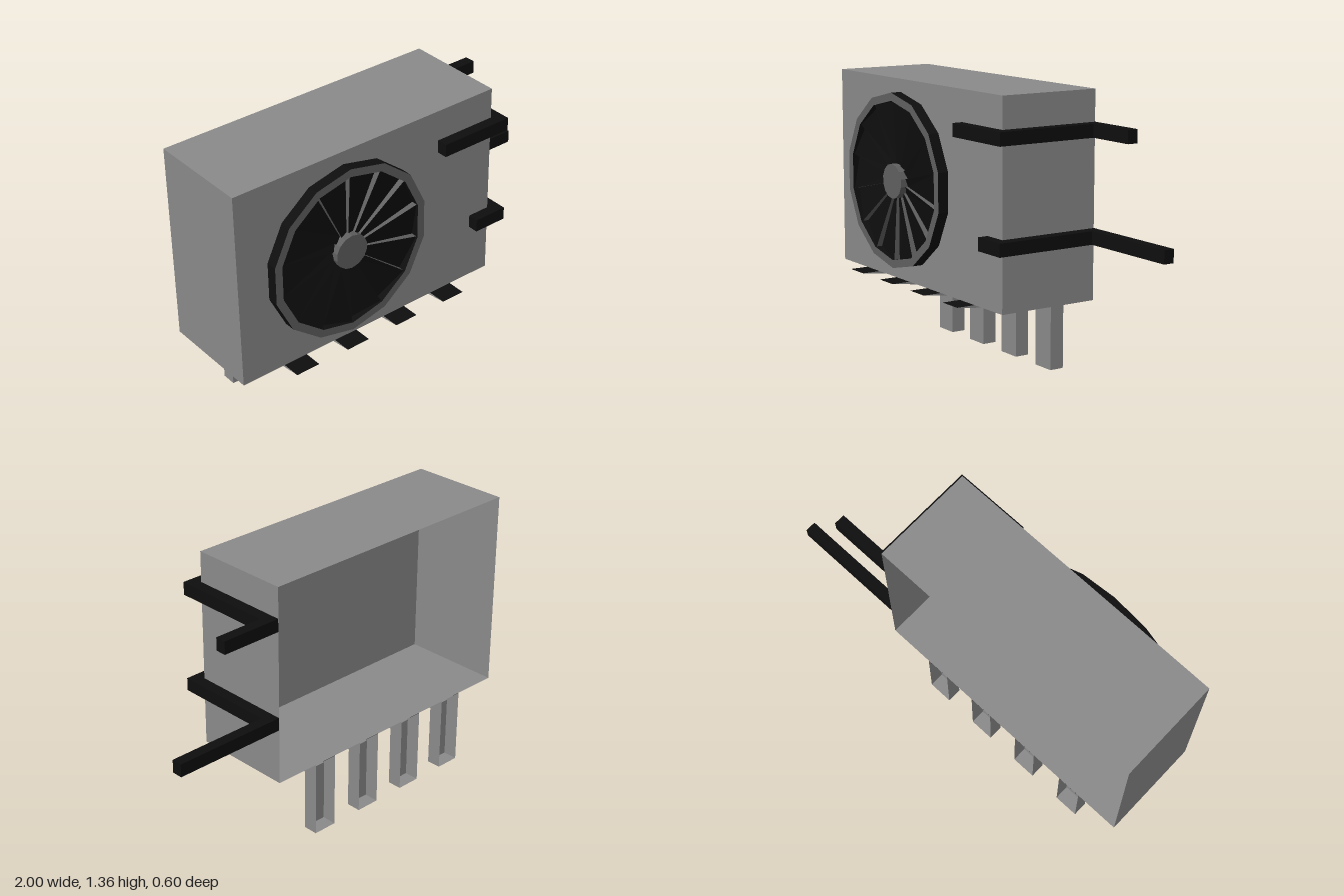
import * as THREE from 'three';

const mat = (color) => new THREE.MeshStandardMaterial({ color, side: THREE.DoubleSide, flatShading: true });

export function createModel() {
  const model = new THREE.Group();
  const grey = mat(0x8a8a8a), mid = mat(0x606060), black = mat(0x0e0e0e);

  const add = (parent, name, geo, material) => {
    const m = new THREE.Mesh(geo, material);
    m.name = name;
    parent.add(m);
    return m;
  };
  // Axis-aligned box from its limits
  const boxGeo = (x0, x1, y0, y1, z0, z1) =>
    new THREE.BoxGeometry(x1 - x0, y1 - y0, z1 - z0)
      .translate((x0 + x1) / 2, (y0 + y1) / 2, (z0 + z1) / 2);
  // Box without its back face (-z, the last six indices)
  const openBack = (geo) => {
    geo.setIndex(Array.from(geo.index.array).slice(0, 30));
    geo.clearGroups();
    return geo;
  };
  // Surface from a list of four-cornered faces
  const quads = (faces) => {
    const pos = [];
    for (const [a, b, c, d] of faces) pos.push(...a, ...b, ...c, ...a, ...c, ...d);
    const g = new THREE.BufferGeometry();
    g.setAttribute('position', new THREE.Float32BufferAttribute(pos, 3));
    g.computeVertexNormals();
    return g;
  };

  // Casing, hollow and open at the back
  add(model, 'casing', openBack(boxGeo(-1, 0.435, 0.378, 1.358, -0.3, 0.207)), grey);

  // Fan
  const fan = new THREE.Group();
  fan.name = 'fan';
  fan.position.set(-0.425, 0.868, 0.207);
  model.add(fan);
  const N = 14, R = 0.427, RI = 0.388, RH = 0.085, DEPTH = 0.054;
  const LOW = 0.015, HIGH = 0.045, HUB_HIGH = 0.028;
  const pt = (r, i, z) => {
    const a = Math.PI / 2 + (i * Math.PI * 2) / N;
    return [r * Math.cos(a), r * Math.sin(a), z];
  };
  const rim = [], rimWalls = [], blades = [], steps = [];
  for (let i = 0; i < N; i++) {
    const j = i + 1;
    rim.push([pt(RI, i, DEPTH), pt(R, i, DEPTH), pt(R, j, DEPTH), pt(RI, j, DEPTH)]);
    rimWalls.push([pt(R, i, 0), pt(R, j, 0), pt(R, j, DEPTH), pt(R, i, DEPTH)]);
    rimWalls.push([pt(RI, j, 0), pt(RI, i, 0), pt(RI, i, DEPTH), pt(RI, j, DEPTH)]);
    // Each blade rises counterclockwise, then steps down to the next
    blades.push([pt(RH, i, LOW), pt(RI, i, LOW), pt(RI, j, HIGH), pt(RH, j, HUB_HIGH)]);
    steps.push([pt(RH, j, LOW), pt(RH, j, HUB_HIGH), pt(RI, j, HIGH), pt(RI, j, LOW)]);
  }
  add(fan, 'fanRim', quads(rim), mid);
  add(fan, 'fanRimWalls', quads(rimWalls), black);
  add(fan, 'fanBlades', quads(blades), black);
  add(fan, 'bladeSteps', quads(steps), mid);
  add(fan, 'fanHub', new THREE.CylinderGeometry(RH, RH, 0.044, N).rotateX(Math.PI / 2).translate(0, 0, 0.032), mid);

  // Pipes wrapped around the left side: front run, side run, rear run
  const pipe = (name, y0, y1, xFront, xRear) => {
    const s = new THREE.Shape();
    const p = [[xFront, 0.208], [0.436, 0.208], [0.436, -0.3], [xRear, -0.3],
      [xRear, -0.247], [0.493, -0.247], [0.493, 0.261], [xFront, 0.261]];
    p.forEach(([x, z], i) => (i ? s.lineTo(x, -z) : s.moveTo(x, -z)));
    const g = new THREE.ExtrudeGeometry(s, { depth: y1 - y0, bevelEnabled: false })
      .rotateX(-Math.PI / 2).translate(0, y0, 0);
    add(model, name, g, black);
  };
  pipe('upperPipe', 1.145, 1.208, 0.115, 0.74);
  pipe('lowerPipe', 0.655, 0.718, 0.32, 1);

  // Legs: hollow post open at the back, with a tapered arm under the casing
  const T = 0.377, B = 0.308, ZB = -0.3, ZP = -0.227, ZF = 0.299;
  [-0.713, -0.427, -0.141, 0.146].forEach((x) => {
    const leg = new THREE.Group();
    leg.name = 'leg';
    leg.position.x = x;
    model.add(leg);
    const w = 0.0615, faces = [];
    for (const s of [-w, w]) {
      const post = [[s, 0, ZB], [s, 0, ZP], [s, B, ZP], [s, B, ZB]];
      const arm = [[s, B, ZB], [s, B, ZP], [s, T, ZF], [s, T, ZB]];
      faces.push(...[post, arm].map((f) => (s > 0 ? f.reverse() : f)));
    }
    faces.push(
      [[-w, 0, ZP], [w, 0, ZP], [w, B, ZP], [-w, B, ZP]],
      [[-w, 0, ZB], [w, 0, ZB], [w, 0, ZP], [-w, 0, ZP]],
      [[-w, B, ZP], [w, B, ZP], [w, T, ZF], [-w, T, ZF]],
    );
    add(leg, 'legShell', quads(faces), grey);
    add(leg, 'legTop', quads([[[-w, T, ZF], [w, T, ZF], [w, T, ZB], [-w, T, ZB]]]), black);
  });

  return model;
}
